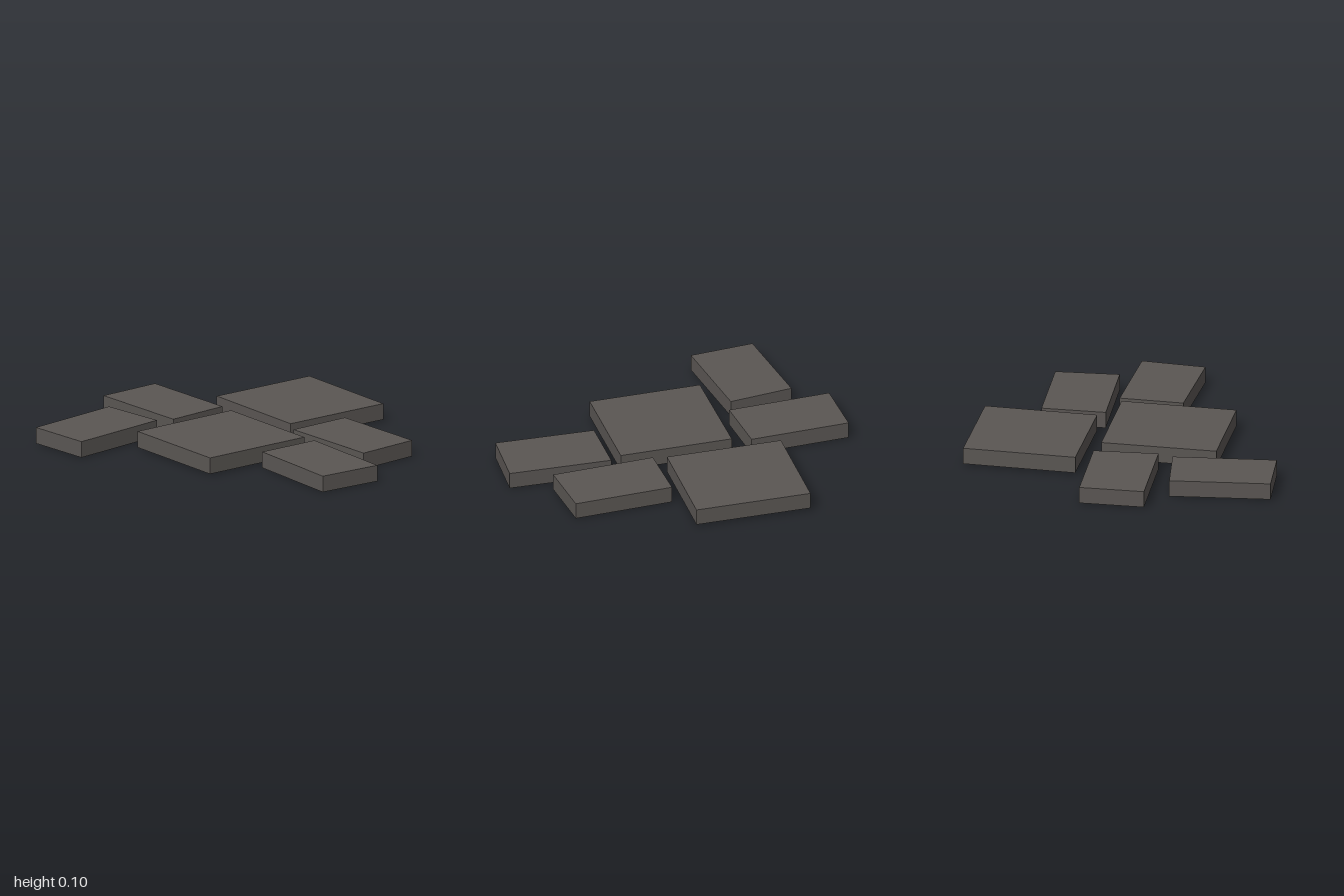
import * as THREE from 'three';

// Each slab: name, base height, top height, outline corners as [x, z]
const SLABS = [
  ['centreLargeSlab', 0.007, 0.101, [[-0.52, -0.345], [0.135, -0.305], [0.115, 0.345], [-0.54, 0.3]]],
  ['rightLargeSlab', 0.01, 0.103, [[0.245, -0.557], [0.885, -0.508], [0.858, 0.157], [0.218, 0.108]]],
  ['backLeftSlab', 0.002, 0.095, [[-0.89, -0.785], [-0.323, -0.818], [-0.288, -0.447], [-0.872, -0.415]]],
  ['backSlab', 0, 0.093, [[-0.207, -1], [0.16, -0.987], [0.163, -0.412], [-0.203, -0.407]]],
  ['frontSlab', 0, 0.093, [[-0.228, 0.383], [0.135, 0.408], [0.095, 0.995], [-0.27, 0.952]]],
  ['frontRightSlab', 0, 0.093, [[0.18, 0.178], [0.545, 0.192], [0.55, 0.763], [0.187, 0.77]]],
];

// Extrude a ground-plan outline upward
function slab(name, base, top, corners, material) {
  const shape = new THREE.Shape(corners.map(([x, z]) => new THREE.Vector2(x, -z)));
  const geometry = new THREE.ExtrudeGeometry(shape, { depth: top - base, bevelEnabled: false });
  geometry.rotateX(-Math.PI / 2);
  geometry.translate(0, base, 0);
  const mesh = new THREE.Mesh(geometry, material);
  mesh.name = name;
  return mesh;
}

export function createModel() {
  const group = new THREE.Group();
  group.name = 'pavingSlabs';
  const stone = new THREE.MeshStandardMaterial({ color: 0x5a5653 });
  stone.name = 'dark stone';
  for (const [name, base, top, corners] of SLABS) group.add(slab(name, base, top, corners, stone));
  return group;
}
